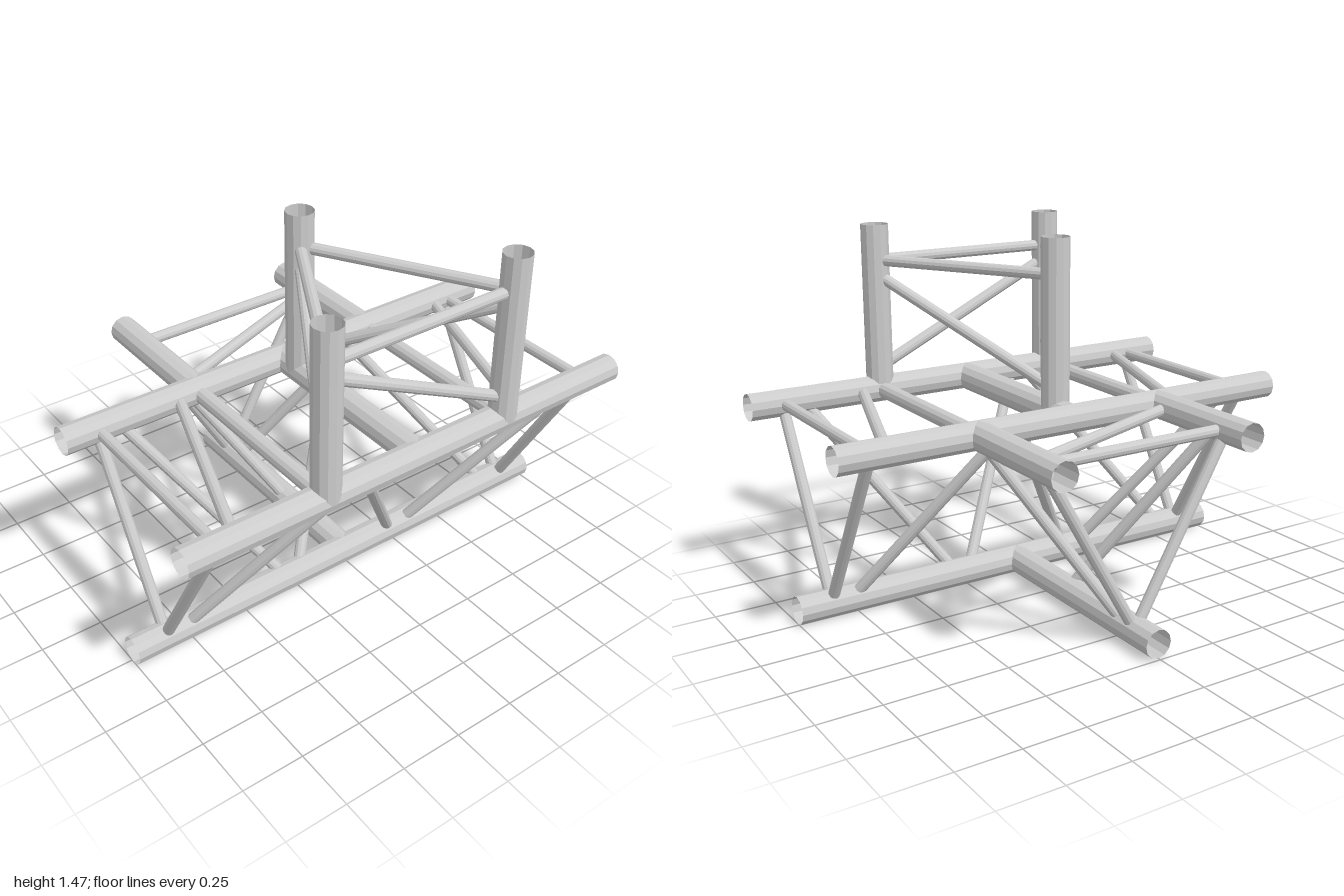
import * as THREE from 'three';

const CHORD_R = 0.057, BRACE_R = 0.0235, LINK_R = 0.033, SIDES = 12;
const steel = new THREE.MeshStandardMaterial({ color: 0xcccccc, flatShading: true, side: THREE.DoubleSide });
steel.name = 'light steel grey';

// Open tube running between two points
function tube(group, name, a, b, radius) {
  const start = new THREE.Vector3(...a), end = new THREE.Vector3(...b);
  const dir = end.clone().sub(start);
  const mesh = new THREE.Mesh(new THREE.CylinderGeometry(radius, radius, dir.length(), SIDES, 1, true), steel);
  mesh.position.copy(start).add(end).multiplyScalar(0.5);
  mesh.quaternion.setFromUnitVectors(new THREE.Vector3(0, 1, 0), dir.normalize());
  mesh.name = name;
  group.add(mesh);
}
const chord = (g, name, a, b) => tube(g, name, a, b, CHORD_R);
const brace = (g, name, a, b) => tube(g, name, a, b, BRACE_R);

// Triangle of braces joining three chords
function frame(g, name, p, q, r) {
  brace(g, name, p, q);
  brace(g, name, q, r);
  brace(g, name, r, p);
}

function section(root, name) {
  const g = new THREE.Group();
  g.name = name;
  root.add(g);
  return g;
}

export function createModel() {
  const root = new THREE.Group();
  root.name = 'trussJunction';
  const top = 0.783, low = 0.06, front = 0.675, rear = -0.158, mid = 0.26, half = 0.415;

  // Main truss along x: two upper chords and one lower
  const main = section(root, 'mainTruss');
  chord(main, 'frontChord', [-1, top, front], [1, top, front]);
  chord(main, 'rearChord', [-1, top, rear], [1, top, rear]);
  chord(main, 'lowerChord', [-1, low, mid], [1, low, mid]);
  chord(main, 'centreCrossTube', [0, top, rear], [0, top, front]);
  for (const s of [-1, 1]) {
    const x = s * 0.855;
    tube(main, 'crossLink', [s * 0.418, top, rear], [s * 0.418, top, front], LINK_R);
    frame(main, 'endFrameBrace', [x, top, front], [x, top, rear], [x, low, mid]);
  }
  // Diagonals as [upper x, lower x]
  for (const [a, b] of [[-0.295, -0.77], [-0.235, 0.235], [0.77, 0.295]])
    brace(main, 'frontDiagonal', [a, top, front], [b, low, mid]);
  for (const [a, b] of [[-0.77, -0.295], [0.235, -0.235], [0.295, 0.77]])
    brace(main, 'rearDiagonal', [a, top, rear], [b, low, mid]);
  for (const [a, b] of [[-0.5, -0.79], [0.79, 0.5]])
    brace(main, 'topDiagonal', [a, top, rear], [b, top, front]);

  // Branch reaching backwards
  const back = section(root, 'backBranch');
  const end = -0.738, zf = -0.592;
  for (const s of [-1, 1]) chord(back, 'upperBranchChord', [s * half, top, rear], [s * half, top, end]);
  chord(back, 'lowerBranchChord', [0, low, mid], [0, low, end]);
  frame(back, 'branchFrameBrace', [-half, top, zf], [half, top, zf], [0, low, zf]);
  brace(back, 'sideDiagonal', [half, top, -0.14], [0, low, -0.53]);
  brace(back, 'sideDiagonal', [-half, top, -0.53], [0, low, -0.14]);
  brace(back, 'topDiagonal', [half, top, -0.55], [-half, top, -0.235]);

  // Branch rising upwards
  const up = section(root, 'uprightBranch');
  const peak = 1.477, yf = 1.329, pf = 0.678, pr = -0.044;
  for (const s of [-1, 1]) chord(up, 'frontPost', [s * half, top, pf], [s * half, peak, pf]);
  chord(up, 'rearPost', [0, top, pr], [0, peak, pr]);
  frame(up, 'postFrameBrace', [-half, yf, pf], [half, yf, pf], [0, yf, pr]);
  brace(up, 'frontDiagonal', [-half, 1.272, pf], [half, 0.873, pf]);
  brace(up, 'sideDiagonal', [-half, 0.873, pf], [0, 1.272, pr]);
  brace(up, 'sideDiagonal', [half, 1.272, pf], [0, 0.873, pr]);

  return root;
}
